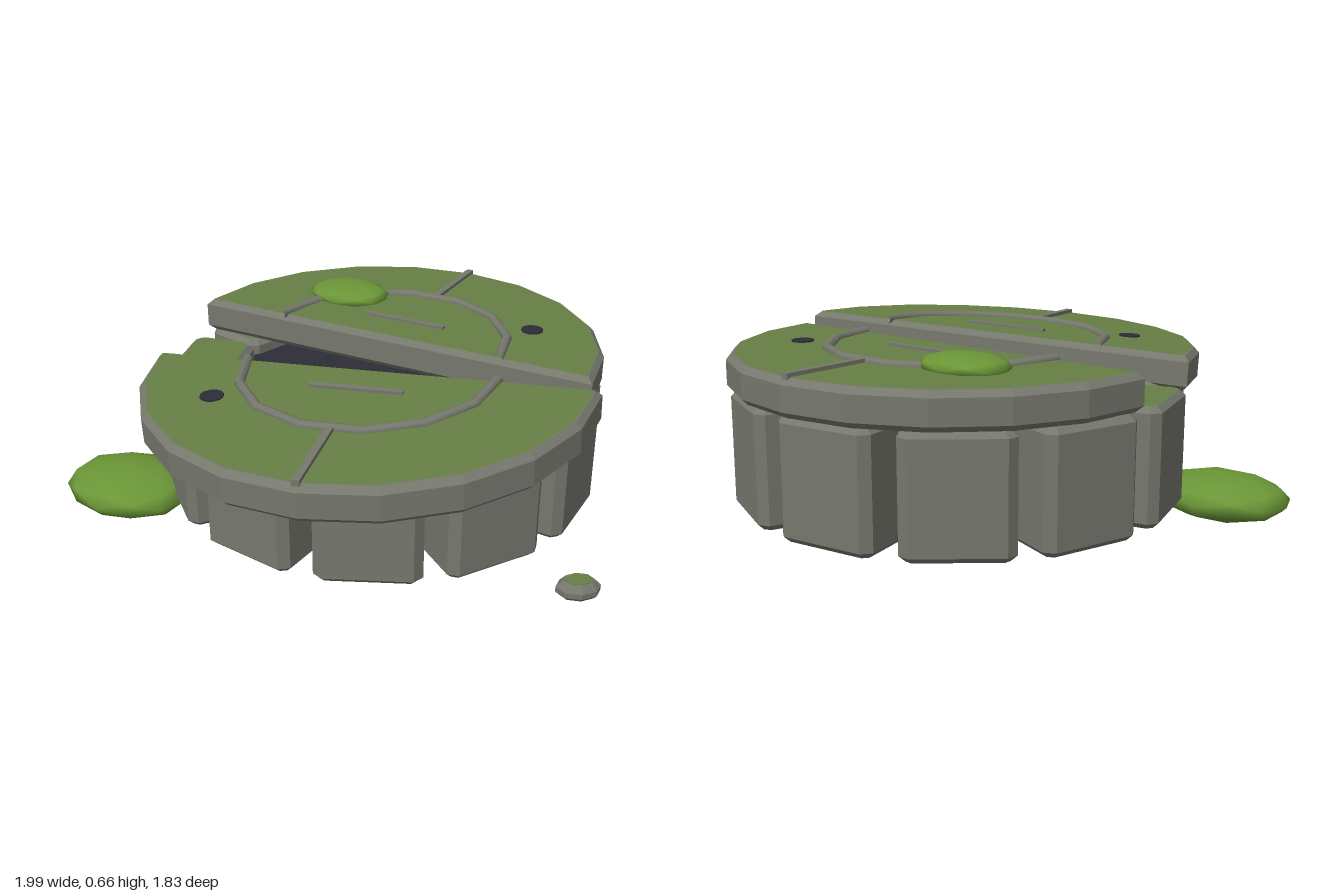
import * as THREE from 'three';

const mat = (name, color) => {
  const m = new THREE.MeshStandardMaterial({ color });
  m.name = name;
  return m;
};

export function createModel() {
  const stone = mat('stone grey', 0x76786e);
  const green = mat('mossy green', 0x667f45);
  const moss = mat('bright moss', 0x6b9637);
  const dark = mat('dark hollow', 0x2d2d38);
  const root = new THREE.Group();
  root.name = 'crackedStoneWell';

  const add = (parent, name, geometry, material, x = 0, y = 0, z = 0) => {
    const mesh = new THREE.Mesh(geometry, material);
    mesh.name = name;
    mesh.position.set(x, y, z);
    parent.add(mesh);
    return mesh;
  };
  const toShape = (pts) => new THREE.Shape(pts.map(([x, y]) => new THREE.Vector2(x, y)));

  // Bevelled slab lying flat, from y = 0 up to the given height
  const slab = (shape, height, bevel) => new THREE.ExtrudeGeometry(shape, {
    depth: height - 2 * bevel, steps: 1, bevelEnabled: true, bevelSegments: 1,
    bevelThickness: bevel, bevelSize: bevel, bevelOffset: -bevel,
  }).rotateX(-Math.PI / 2).translate(0, bevel, 0);
  const plate = (shape) => new THREE.ShapeGeometry(shape).rotateX(-Math.PI / 2);

  // Ring of bevelled stone blocks
  const block = (inset) => {
    const a = 0.525 + inset, b = 0.775 - inset, wi = 0.165 - inset, wo = 0.178 - inset, c = 0.03;
    return toShape([[a + c, -wi], [b - c, -wo], [b, -wo + c], [b, wo - c],
      [b - c, wo], [a + c, wi], [a, wi - c], [a, -wi + c]]);
  };
  const blockGeo = slab(block(0), 0.405, 0.02);
  const blockTopGeo = plate(block(0.02));
  const ring = new THREE.Group();
  ring.name = 'wallRing';
  ring.position.set(0, 0.08, -0.105);
  root.add(ring);
  const count = 11;
  for (let i = 0; i < count; i++) {
    const g = new THREE.Group();
    g.name = 'wallBlock';
    g.rotation.y = -i * Math.PI * 2 / count;
    add(g, 'block', blockGeo, stone);
    add(g, 'blockTop', blockTopGeo, green, 0, 0.4065, 0);
    ring.add(g);
  }

  // Dark disc closing the hollow
  add(ring, 'hollow', new THREE.CylinderGeometry(0.56, 0.56, 0.03, 22), dark, 0, 0.335, 0);

  // Half-round lid with raised ring, spoke, dash and hole
  const half = (r, y0) => {
    const pts = [];
    for (let i = 0; i <= 10; i++) {
      const t = i * Math.PI / 10;
      pts.push([r * Math.cos(t), Math.max(y0, r * Math.sin(t))]);
    }
    return toShape(pts);
  };
  const lidHeight = 0.125;
  const lidHalf = (name) => {
    const g = new THREE.Group();
    g.name = name;
    add(g, 'slab', slab(half(0.78, 0), lidHeight, 0.02), stone);
    add(g, 'lidTop', plate(half(0.757, 0.014)), green, 0, lidHeight + 0.002, 0);
    add(g, 'raisedRing', new THREE.TorusGeometry(0.44, 0.018, 8, 7, Math.PI).rotateX(-Math.PI / 2),
      stone, 0, lidHeight + 0.002, 0);
    add(g, 'spoke', new THREE.BoxGeometry(0.025, 0.024, 0.33), stone, 0, lidHeight + 0.003, -0.6);
    add(g, 'dash', new THREE.BoxGeometry(0.32, 0.02, 0.022), stone, 0, lidHeight + 0.002, -0.16);
    add(g, 'hole', new THREE.CylinderGeometry(0.04, 0.04, 0.009, 12), dark, 0.45, lidHeight + 0.003, -0.3);
    root.add(g);
    return g;
  };
  const backLid = lidHalf('backLid');
  backLid.position.set(0, 0.485, -0.13);
  // The front half has slid away, turned and tilted
  const frontLid = lidHalf('frontLid');
  frontLid.position.set(0.09, 0.485, 0.145);
  frontLid.rotation.set(0.038, Math.PI + 0.216, 0.027, 'XZY');

  // Moss clumps
  const clump = (name, pos, size, turn) => {
    const m = add(root, name, new THREE.IcosahedronGeometry(1, 1), moss, ...pos);
    m.scale.set(...size);
    m.rotation.y = turn;
  };
  clump('lidMoss', [-0.315, 0.622, -0.435], [0.162, 0.04, 0.127], 0);
  clump('groundMoss', [-0.755, 0.08, 0.445], [0.248, 0.08, 0.2], 0);

  // Loose pebble with a green top
  const pebble = new THREE.Group();
  pebble.name = 'pebble';
  pebble.position.set(0.927, 0.08, 0.32);
  pebble.rotation.y = 0.58;
  pebble.scale.z = 0.72;
  const profile = [[0, 0], [0.06, 0], [0.073, 0.012], [0.073, 0.03], [0.05, 0.054], [0, 0.054]]
    .map(([x, y]) => new THREE.Vector2(x, y));
  const body = new THREE.LatheGeometry(profile, 8).toNonIndexed();
  body.computeVertexNormals();
  add(pebble, 'pebbleBody', body, stone);
  add(pebble, 'pebbleTop', new THREE.CylinderGeometry(0.046, 0.046, 0.004, 8), green, 0, 0.054, 0);
  root.add(pebble);

  return root;
}
